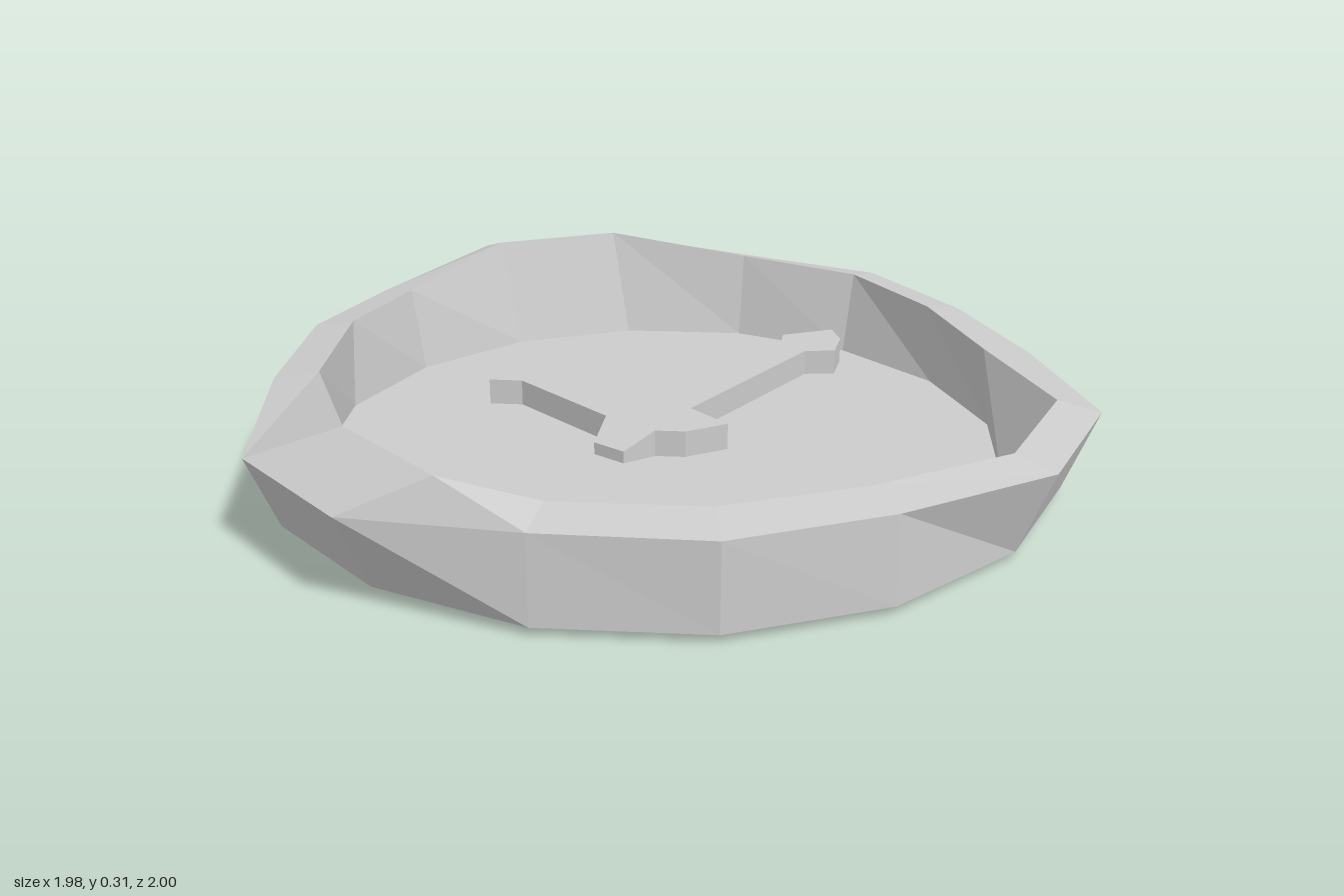
import * as THREE from 'three';

const SIDES = 16, CX = -0.04, CZ = -0.05;
const material = new THREE.MeshStandardMaterial({ color: 0xcccccc, flatShading: true });

// Regular ring, starting at the back and turning towards +x
function ring(radius, y) {
  return Array.from({ length: SIDES }, (_, i) => {
    const t = (i / SIDES) * Math.PI * 2;
    return [CX + radius * Math.sin(t), y, CZ - radius * Math.cos(t)];
  });
}

// Joins consecutive rings with flat faces
function loft(name, rings) {
  const pos = [];
  for (let k = 0; k < rings.length - 1; k++) {
    const a = rings[k], b = rings[k + 1];
    for (let i = 0; i < SIDES; i++) {
      const j = (i + 1) % SIDES;
      if (a[i] !== a[j]) pos.push(...a[i], ...b[j], ...a[j]);
      if (b[i] !== b[j]) pos.push(...a[i], ...b[i], ...b[j]);
    }
  }
  const geo = new THREE.BufferGeometry();
  geo.setAttribute('position', new THREE.Float32BufferAttribute(pos, 3));
  geo.computeVertexNormals();
  return named(name, geo);
}

function named(name, geo) {
  const mesh = new THREE.Mesh(geo, material);
  mesh.name = name;
  return mesh;
}

export function createModel() {
  const group = new THREE.Group();
  group.name = 'wallClock';
  const centre = (y) => Array(SIDES).fill([CX, y, CZ]);

  // Warped rim: the outer and inner edges bulge up at the front and back right
  const outer = [
    [-0.04, 0.22, -1.0], [0.3, 0.22, -0.87], [0.61, 0.22, -0.67], [0.91, 0.22, -0.42],
    [0.985, 0.22, -0.05], [0.83, 0.22, 0.31], [0.63, 0.22, 0.62], [0.32, 0.22, 0.82],
    [-0.02, 0.22, 1.0], [-0.38, 0.22, 0.925], [-0.7, 0.22, 0.575], [-0.915, 0.22, 0.26],
    [-0.99, 0.22, -0.05], [-0.965, 0.265, -0.42], [-0.76, 0.265, -0.73], [-0.4, 0.22, -0.93],
  ];
  const inner = [
    [-0.04, 0.24, -0.9], [0.26, 0.24, -0.78], [0.53, 0.24, -0.58], [0.82, 0.24, -0.38],
    [0.885, 0.24, -0.05], [0.74, 0.24, 0.27], [0.555, 0.24, 0.54], [0.28, 0.24, 0.725],
    [0.14, 0.31, 0.88], [-0.18, 0.31, 0.82], [-0.61, 0.24, 0.515], [-0.82, 0.24, 0.22],
    [-0.89, 0.24, -0.05], [-0.87, 0.3, -0.38], [-0.69, 0.3, -0.65], [-0.36, 0.25, -0.83],
  ];
  const floor = ring(0.81, 0.03);
  floor[8][2] = 0.68;
  floor[9][2] = 0.615;

  // Case with closed underside, and dial
  const base = ring(0.945, 0.02);
  group.add(loft('case', [centre(0.02), base, outer, inner, floor]));
  group.add(loft('dial', [floor, centre(0.03)]));

  // Both hands cut as one plate, x and z of the outline
  const top = 0.095;
  const outline = [
    [-0.06, -0.83], [0, -0.78], [0.04, -0.69], [-0.02, -0.64], [-0.01, -0.125],
    [0.12, -0.1], [0.07, 0], [0.01, 0.04], [-0.14, 0.04], [-0.46, -0.01],
    [-0.53, 0.035], [-0.6, -0.05], [-0.54, -0.105], [-0.47, -0.08], [-0.11, -0.125],
    [-0.1, -0.64], [-0.14, -0.71],
  ];
  const shape = new THREE.Shape(outline.map(([x, z]) => new THREE.Vector2(x, z)));
  const hands = new THREE.ExtrudeGeometry(shape, { depth: top, bevelEnabled: false });
  hands.rotateX(Math.PI / 2).translate(0, top, 0);
  group.add(named('hands', hands));

  // Tail of the long hand, narrowing and sloping down to the front
  const tail = new THREE.BoxGeometry(0.15, top, 0.08).translate(0, top / 2, 0);
  const p = tail.attributes.position;
  for (let i = 0; i < p.count; i++) {
    if (p.getZ(i) < 0) continue;
    p.setX(i, p.getX(i) * 0.6);
    if (p.getY(i) > 0.01) p.setY(i, 0.06);
  }
  tail.translate(-0.065, 0, 0.08);
  tail.computeVertexNormals();
  group.add(named('handTail', tail));

  return group;
}
